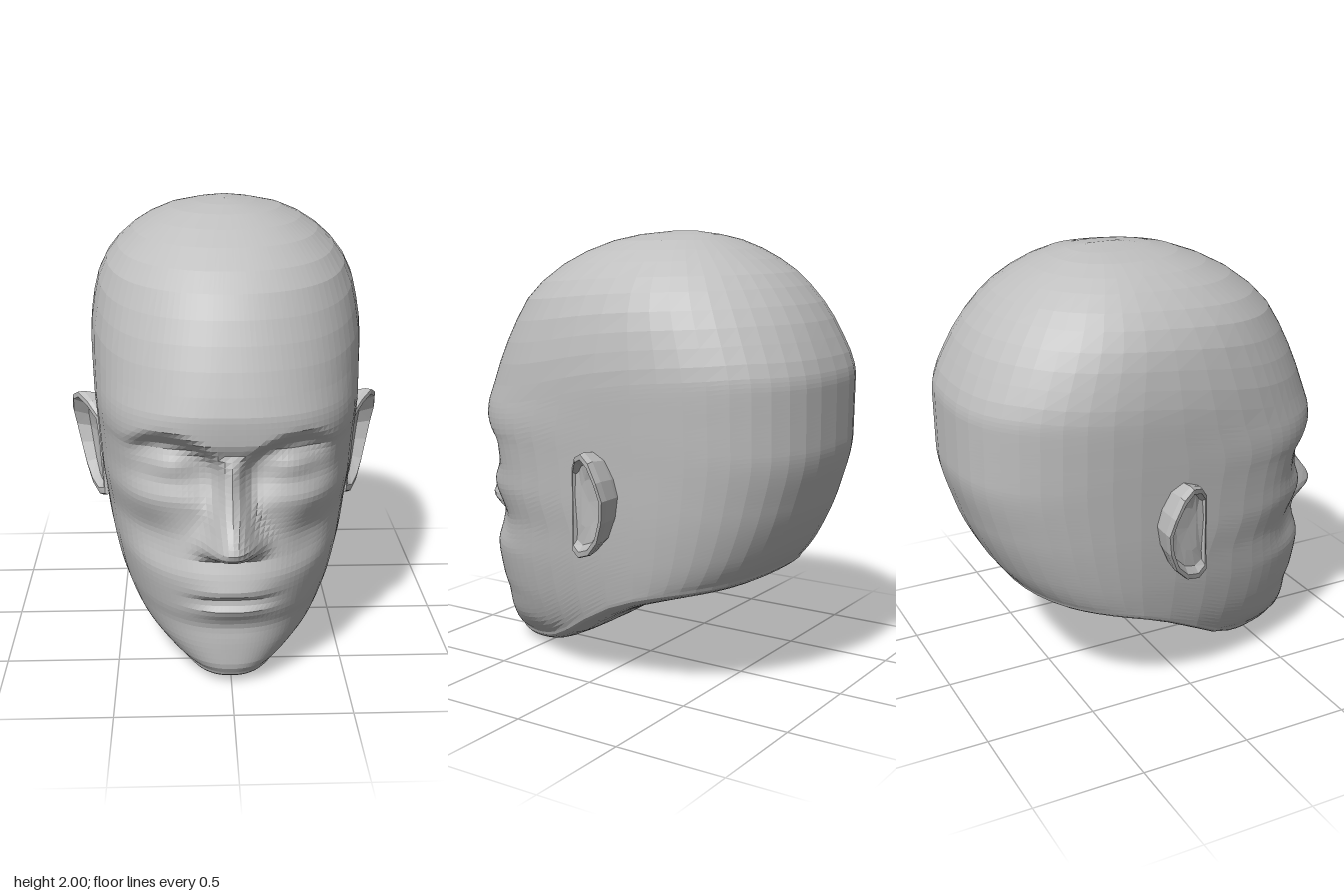
import * as THREE from 'three';

const skin = new THREE.MeshStandardMaterial({ color: 0xbfbfbf });
skin.name = 'plain grey';

// Smooth monotone lookup in [key, value] pairs sorted by key
function at(table, k) {
  const last = table.length - 1;
  if (k <= table[0][0]) return table[0][1];
  if (k >= table[last][0]) return table[last][1];
  const slope = i => (table[i + 1][1] - table[i][1]) / (table[i + 1][0] - table[i][0]);
  const tangent = i => {
    if (i === 0) return slope(0);
    if (i === last) return slope(last - 1);
    const a = slope(i - 1), b = slope(i);
    return a * b > 0 ? 2 * a * b / (a + b) : 0;
  };
  const i = table.findIndex(row => row[0] > k) - 1;
  const h = table[i + 1][0] - table[i][0], t = (k - table[i][0]) / h, u = 1 - t;
  return table[i][1] * u * u * (1 + 2 * t) + table[i + 1][1] * t * t * (3 - 2 * t)
    + h * t * u * (tangent(i) * u - tangent(i + 1) * t);
}
const smooth = (x, a, b) => THREE.MathUtils.smoothstep(x, a, b);
const bump = (x, y, cx, cy, rx, ry) => Math.exp(-(((x - cx) / rx) ** 2) - ((y - cy) / ry) ** 2);

// Head outline by height: face depth, back depth, half width
const FRONT = [[0.02, 0.69], [0.06, 0.745], [0.1, 0.76], [0.2, 0.762], [0.27, 0.768], [0.35, 0.79], [0.5, 0.808],
  [0.6, 0.775], [0.7, 0.745], [0.8, 0.732], [0.9, 0.73], [1.0, 0.745], [1.05, 0.758], [1.1, 0.78], [1.2, 0.785],
  [1.3, 0.76], [1.45, 0.705], [1.6, 0.635], [1.7, 0.57], [1.82, 0.435], [1.92, 0.25], [1.98, 0.05], [2, -0.13]];
const BACK = [[0.45, -0.6], [0.53, -0.7], [0.65, -0.79], [0.86, -0.885], [1.11, -0.945], [1.36, -0.945],
  [1.6, -0.86], [1.8, -0.71], [1.93, -0.51], [1.98, -0.37], [2, -0.25]];
const WIDTH = [[0.03, 0.24], [0.1, 0.345], [0.2, 0.445], [0.35, 0.51], [0.5, 0.545], [0.6, 0.562], [0.8, 0.585],
  [1.0, 0.6], [1.2, 0.615], [1.4, 0.625], [1.6, 0.602], [1.7, 0.57], [1.78, 0.52], [1.86, 0.44], [1.94, 0.31],
  [1.975, 0.2], [2, 0]];
// Squareness of the front half by height: lower is squarer
const SQUARE = [[0.1, 0.84], [0.4, 0.89], [0.65, 0.86], [0.85, 0.75], [1.12, 0.75], [1.3, 0.84], [1.6, 0.93]];
// Height of the jaw edge by depth
const JAW = [[-0.75, 0.555], [-0.6, 0.52], [-0.4, 0.48], [-0.2, 0.42], [0, 0.32], [0.2, 0.195], [0.4, 0.1],
  [0.6, 0.055], [0.75, 0.055]];
// Nose ridge depth and half width by height
const NOSE = [[0.6, 0.775], [0.62, 0.85], [0.65, 0.925], [0.68, 0.95], [0.72, 0.935], [0.8, 0.88], [0.9, 0.82],
  [1.0, 0.778], [1.05, 0.76]];
const NOSE_W = [[0.6, 0.12], [0.66, 0.115], [0.75, 0.085], [0.9, 0.06], [1.05, 0.05]];

// Depth added to the plain face for its features
function features(x, y) {
  const ax = Math.abs(x);
  let d = 0;
  if (y > 0.6 && y < 1.05) {
    d += Math.max(0, at(NOSE, y) - at(FRONT, y)) * Math.exp(-((ax / at(NOSE_W, y)) ** 2.6));
  }
  // eye sockets under the brow, with closed lids
  const under = 1.16 - 1.8 * (ax - 0.29) ** 2 - y;
  d -= 0.085 * Math.exp(-(((ax - 0.23) / 0.18) ** 4)) * smooth(under, 0, 0.1) * (1 - smooth(under, 0.1, 0.33));
  d += 0.045 * bump(ax, y, 0.27, 0.99, 0.12, 0.065);
  // cheekbones and hollows
  d += 0.02 * bump(ax, y, 0.34, 0.83, 0.14, 0.09);
  d -= 0.025 * bump(ax, y, 0.34, 0.64, 0.1, 0.1);
  // lips, mouth line, chin crease
  const lip = Math.exp(-((ax / 0.16) ** 3));
  const ridge = (cy, r) => Math.exp(-(((y - cy) / r) ** 2));
  d += lip * (0.016 * ridge(0.46, 0.035) - 0.024 * ridge(0.41, 0.02) + 0.016 * ridge(0.37, 0.03));
  d -= 0.01 * bump(ax, y, 0, 0.28, 0.2, 0.05);
  return d;
}

// Closed stack of rings, flat shaded
function skinRings(rings) {
  const n = rings[0].length, pos = [], index = [];
  rings.forEach(r => r.forEach(p => pos.push(...p)));
  for (let j = 0; j < rings.length - 1; j++) {
    for (let i = 0; i < n; i++) {
      const a = j * n + i, b = j * n + (i + 1) % n;
      index.push(a, b, b + n, a, b + n, a + n);
    }
  }
  const g = new THREE.BufferGeometry();
  g.setAttribute('position', new THREE.Float32BufferAttribute(pos, 3));
  g.setIndex(index);
  const flat = g.toNonIndexed();
  flat.computeVertexNormals();
  return flat;
}

function headGeometry() {
  // Columns: close together across the face, wider round the back
  const half = [];
  for (let i = 0; i < 22; i++) half.push(Math.asin((0.9 * i / 22) ** 1.25));
  const side = Math.asin(0.9 ** 1.25);
  for (let i = 0; i <= 14; i++) half.push(side + (Math.PI - side) * i / 14);
  const angles = [...half, ...half.slice(1, -1).reverse().map(a => 2 * Math.PI - a)];

  // Height and depth depend on each other, so settle them by repeated halving steps
  const wallPoint = (s, a) => {
    const c = Math.cos(a), sn = Math.sin(a);
    let z = c * 0.7, y = 0, power = 0.8;
    for (let k = 0; k < 24; k++) {
      y = at(JAW, z) * (1 - s) + 2 * s;
      power = c > 0 ? at(SQUARE, y) : 0.8 + 0.13 * smooth(y, 1.4, 1.8);
      const reach = c > 0 ? at(FRONT, y) + 0.2 : -0.2 - at(BACK, y);
      z = (z - 0.2 + reach * Math.sign(c) * Math.abs(c) ** power) / 2;
    }
    const x = at(WIDTH, y) * Math.sign(sn) * Math.abs(sn) ** power;
    return [x, y, z + features(x, y) * smooth(c, 0.1, 0.5)];
  };

  // Rows: fine over the face, coarse over the skull
  const rows = [];
  for (let i = 0; i < 49; i++) rows.push(i * 0.0125);
  rows.push(0.64, 0.69, 0.74, 0.79, 0.84, 0.88, 0.92, 0.95, 0.975, 0.99, 1);
  const wall = rows.map(s => angles.map(a => wallPoint(s, a)));

  // Underside, rounding over below the jaw edge
  const under = [0, 0.25, 0.5, 0.7, 0.82, 0.91, 0.96, 0.99].map(k => wall[0].map(([x, , z]) => {
    const zz = 0.1 + (z - 0.1) * k;
    return [x * k, at(JAW, zz) - 0.07 * Math.sqrt(1 - k ** 4), zz];
  }));
  return skinRings([...under, ...wall]);
}

// Ear outline as depth and height, from the lobe up the back and down the front
const EAR = [[-0.02, 0.6], [-0.1, 0.63], [-0.17, 0.7], [-0.215, 0.8], [-0.235, 0.9], [-0.215, 0.98], [-0.17, 1.06],
  [-0.11, 1.09], [-0.04, 1.06], [0.01, 1.0], [0.02, 0.9], [0.025, 0.75], [0.035, 0.62]];

function earGeometry() {
  const cz = -0.08, cy = 0.86;
  // each loop: outline scale, flare, offset outwards
  const loops = [[0.88, 0, -0.04], [0.96, 0.45, -0.02], [1, 0.85, -0.005], [0.98, 1, 0.006], [0.88, 1, 0.006],
    [0.77, 0.65, -0.01], [0.45, 0.4, 0], [0, 0.35, 0]];
  return skinRings(loops.map(([k, flare, out]) => EAR.map(([z, y]) => {
    const zz = cz + (z - cz) * k, yy = cy + (y - cy) * k;
    const t = THREE.MathUtils.clamp((0.03 - zz) / 0.27, 0, 1);
    const spread = 0.165 * (1 - (1 - t) ** 2) * (0.5 + 0.5 * Math.min(1, (yy - 0.6) / 0.4));
    return [0.567 + out + spread * flare, yy, zz];
  })));
}

// Mirror across x, turning the faces back outwards
function mirrored(geometry) {
  const g = geometry.clone(), p = g.attributes.position;
  for (let i = 0; i < p.count; i += 3) {
    const v = [0, 2, 1].map(k => new THREE.Vector3().fromBufferAttribute(p, i + k));
    v.forEach((q, k) => p.setXYZ(i + k, -q.x, q.y, q.z));
  }
  g.computeVertexNormals();
  return g;
}

export function createModel() {
  const model = new THREE.Group();
  model.name = 'head';
  const add = (name, geometry) => {
    const mesh = new THREE.Mesh(geometry, skin);
    mesh.name = name;
    model.add(mesh);
  };
  add('skullAndFace', headGeometry());
  const ear = earGeometry();
  add('leftEar', ear);
  add('rightEar', mirrored(ear));
  return model;
}
